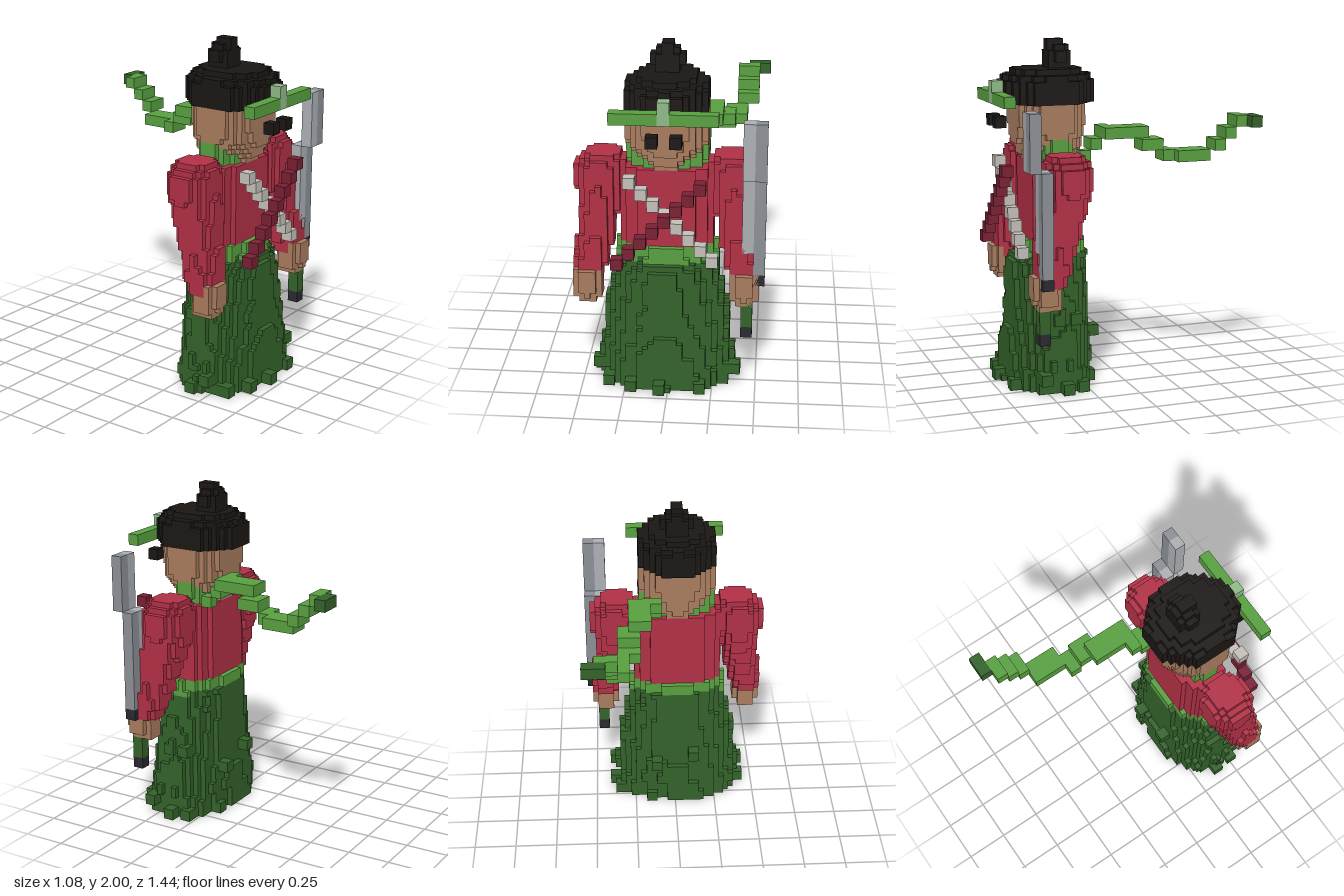
import * as THREE from 'three';

const V = 2 / 61; // size of one voxel; all sizes below are in voxels, body axis on x = 0

const COLORS = {
  red: 0xb23046, darkRed: 0x7a2034, darkGreen: 0x33622a, green: 0x58a040, mint: 0x90ba88,
  skin: 0xa87c5e, hair: 0x1a1614, bead: 0xc4c0ba, steel: 0xacb0b4, darkSteel: 0x8c9096, black: 0x2a2930,
};
const materials = {};
for (const [k, color] of Object.entries(COLORS)) materials[k] = new THREE.MeshStandardMaterial({ color });

const place = (x, y, z) => [(x - 0.5) * V, y * V, z * V];

// Plain block between two voxel corners
function block(parent, name, color, x0, x1, y0, y1, z0, z1) {
  const mesh = new THREE.Mesh(new THREE.BoxGeometry((x1 - x0) * V, (y1 - y0) * V, (z1 - z0) * V), materials[color]);
  mesh.name = name;
  mesh.position.set(...place((x0 + x1) / 2, (y0 + y1) / 2, (z0 + z1) / 2));
  parent.add(mesh);
}

// Repeatable value in 0..1 for a cell
function hash(a, b, c) {
  const s = Math.sin(a * 127.1 + b * 311.7 + c * 74.7) * 43758.5453;
  return s - Math.floor(s);
}

// Stack of elliptical layers cut into voxels. Sections: [y, centreX, centreZ, radiusX, radiusZ]
// ragged roughens the outline; wall > 0 leaves only a shell of that thickness, open below
function voxelLoft(parent, name, color, sections, ragged = 0, wall = 0) {
  const first = sections[0][0], last = sections[sections.length - 1][0];
  const inside = (i, j, k) => {
    if (j < first || j >= last) return false;
    const y = j + 0.5;
    let s = 0;
    while (s < sections.length - 2 && sections[s + 1][0] <= y) s++;
    const a = sections[s], b = sections[s + 1], t = (y - a[0]) / (b[0] - a[0]);
    const [cx, cz, rx, rz] = [1, 2, 3, 4].map((n) => a[n] + (b[n] - a[n]) * t);
    const grow = 1 + ragged * (hash(i >> 1, j >> 2, k >> 1) - 0.4);
    const dx = i + 0.5 - cx, dz = k + 0.5 - cz;
    if (wall && j < last - 1 && Math.hypot(dx / (rx - wall), dz / (rz - wall)) < 1) return false;
    return Math.hypot(dx / rx, dz / rz) <= grow;
  };
  const position = [], normal = [], index = [];
  const addFace = (cell, axis, sign) => {
    const u = (axis + 1) % 3, w = (axis + 2) % 3, base = position.length / 3;
    for (const [p, q] of [[0, 0], [1, 0], [1, 1], [0, 1]]) {
      const c = [...cell], n = [0, 0, 0];
      c[axis] += sign > 0 ? 1 : 0;
      c[u] += p;
      c[w] += q;
      n[axis] = sign;
      position.push(...place(...c));
      normal.push(...n);
    }
    const order = sign > 0 ? [0, 1, 2, 0, 2, 3] : [0, 2, 1, 0, 3, 2];
    index.push(...order.map((o) => base + o));
  };
  for (let j = first; j < last; j++)
    for (let i = -20; i < 20; i++)
      for (let k = 0; k < 26; k++) {
        if (!inside(i, j, k)) continue;
        for (let axis = 0; axis < 3; axis++)
          for (const sign of [-1, 1]) {
            const n = [i, j, k];
            n[axis] += sign;
            if (!inside(...n)) addFace([i, j, k], axis, sign);
          }
      }
  const geometry = new THREE.BufferGeometry();
  geometry.setAttribute('position', new THREE.Float32BufferAttribute(position, 3));
  geometry.setAttribute('normal', new THREE.Float32BufferAttribute(normal, 3));
  geometry.setIndex(index);
  const mesh = new THREE.Mesh(geometry, materials[color]);
  mesh.name = name;
  parent.add(mesh);
}

export function createModel() {
  const model = new THREE.Group();
  model.name = 'swordsman';

  // Hollow skirt with ragged folds, rising a little at the back
  voxelLoft(model, 'skirt', 'darkGreen', [
    [0, 0, 12.8, 11.8, 7.6], [6, 0, 12.7, 11.4, 7.3], [10, 0, 12.5, 10.8, 6.9], [14, 0, 12.4, 10.4, 6.6],
    [18, 0, 12.3, 9.5, 6.5], [22, 0, 12.3, 8.6, 6.4], [24, 0, 10.6, 8, 5],
  ], 0.07, 1.4);
  // Loose tufts at the hem and higher up: [x, y, z] of the lower corner
  for (const [x, y, z] of [
    [-13, 0, 11], [-13, 2, 14], [-11, 0, 17], [11, 0, 11], [11, 2, 15], [10, 0, 8], [-7, 0, 19], [-2, 0, 20],
    [5, 0, 19], [-11, 2, 8], [4, 0, 5], [-5, 0, 5], [3, 8, 4], [-4, 10, 4], [9, 12, 9], [-11, 13, 10],
  ]) block(model, 'skirtTuft', 'darkGreen', x, x + 2, y, y + 2, z, z + 2);

  // Body
  voxelLoft(model, 'sash', 'green', [[22, 0, 11.5, 8.8, 5.7], [26, 0, 11.5, 8.5, 5.2]]);
  voxelLoft(model, 'torso', 'red', [[26, 0, 11.5, 8.4, 4.9], [34, 0, 11.5, 8.4, 4.9], [40, 0, 11.5, 8.8, 4.9]]);
  voxelLoft(model, 'collar', 'green', [[40, 0, 11.5, 6.6, 4], [42, 0, 11.5, 7, 3.8], [44, 0, 11.5, 7, 3]]);

  // Arms: puffed shoulder, sleeve leaning out and forward, hand
  for (const [side, s] of [['left', 1], ['right', -1]]) {
    voxelLoft(model, side + 'Sleeve', 'red', [
      [20, s * 13.5, 15.6, 2.4, 2.4], [23, s * 13.2, 15.1, 3, 3.1], [25, s * 12.6, 14.7, 3, 3.3], [31, s * 11.9, 13.2, 3.5, 3.9],
      [35, s * 11.6, 12.4, 3.9, 4.3], [38, s * 11.6, 12, 4.6, 4.4], [40, s * 11.4, 12, 4.6, 4.2], [42, s * 10.9, 12, 3, 2.8],
    ]);
    voxelLoft(model, side + 'Hand', 'skin',
      [[16, s * 13.5, 16, 1.6, 1.7], [18, s * 13.5, 16.3, 2.7, 2.5], [22, s * 13.5, 16.5, 2.7, 2.4]]);
  }

  // Head, eyes, hair and topknot
  voxelLoft(model, 'head', 'skin',
    [[40, 0, 11.5, 3.6, 4.6], [42, 0, 11.8, 5.4, 5.5], [44, 0, 12, 6.7, 6], [46, 0, 12, 7.3, 6.3], [50, 0, 12, 7.3, 6.3]]);
  for (const x of [-3, 1]) block(model, 'eye', 'hair', x, x + 2, 46, 48, 20, 22);
  voxelLoft(model, 'hair', 'hair', [[50, 0, 12, 7.4, 8.1], [54, 0, 12, 7.4, 8.1], [55, 0, 12, 6.2, 7], [56, 0, 12, 4.2, 5.4]]);
  voxelLoft(model, 'topknot', 'hair',
    [[56, 0, 10, 1.8, 2], [57, 0, 10, 2.7, 2.5], [59, 0, 10, 2.7, 2.5], [60, 0, 10, 1.2, 2.1], [61, 0, 10.5, 1.2, 1.6]]);

  // Headband and its ornament
  block(model, 'headband', 'green', -9, -1, 50, 52, 20, 22);
  block(model, 'headband', 'green', 1, 9, 50, 52, 20, 22);
  block(model, 'headbandOrnament', 'mint', -1, 1, 50, 54, 20, 22);

  // Crossed chest straps: beads under, cloth over
  for (let n = 0; n < 8; n++) {
    const y = 38 - n * 2;
    block(model, 'beadStrap', 'bead', -7 + n * 2, -5 + n * 2, y, y + 2, 18, 20);
    block(model, 'clothStrap', 'darkRed', 5 - n * 2, 7 - n * 2, y, y + 2, 20, 22);
  }

  // Scarf tail trailing behind: [x0, x1, y, z0, z1]
  for (const [x0, x1, y, z0, z1] of [
    [5, 7, 40, 6, 8], [3, 7, 42, 4, 6], [3, 9, 44, 2, 4], [5, 9, 44, -4, 2], [7, 11, 42, -6, -2],
    [7, 11, 40, -8, -6], [9, 13, 40, -14, -8], [11, 15, 42, -16, -14], [11, 15, 44, -18, -16], [11, 15, 46, -20, -18],
  ]) block(model, 'scarfTail', 'green', x0, x1, y, y + 2, z0, z1);
  block(model, 'scarfTip', 'darkGreen', 13, 17, 46, 48, -22, -20);

  // Sword in the left hand
  for (const [x, color, low] of [[13, 'steel', 26], [15, 'darkSteel', 22]]) {
    block(model, 'bladeLower', color, x, x + 2, low, 40, 16, 18);
    block(model, 'bladeUpper', color, x, x + 2, 40, 50, 18, 20);
  }
  block(model, 'guard', 'black', 15, 17, 20, 22, 16, 18);
  block(model, 'swordHandle', 'darkGreen', 13, 15, 12, 18, 16, 18);
  block(model, 'pommel', 'black', 13, 15, 10, 12, 16, 18);

  return model;
}
